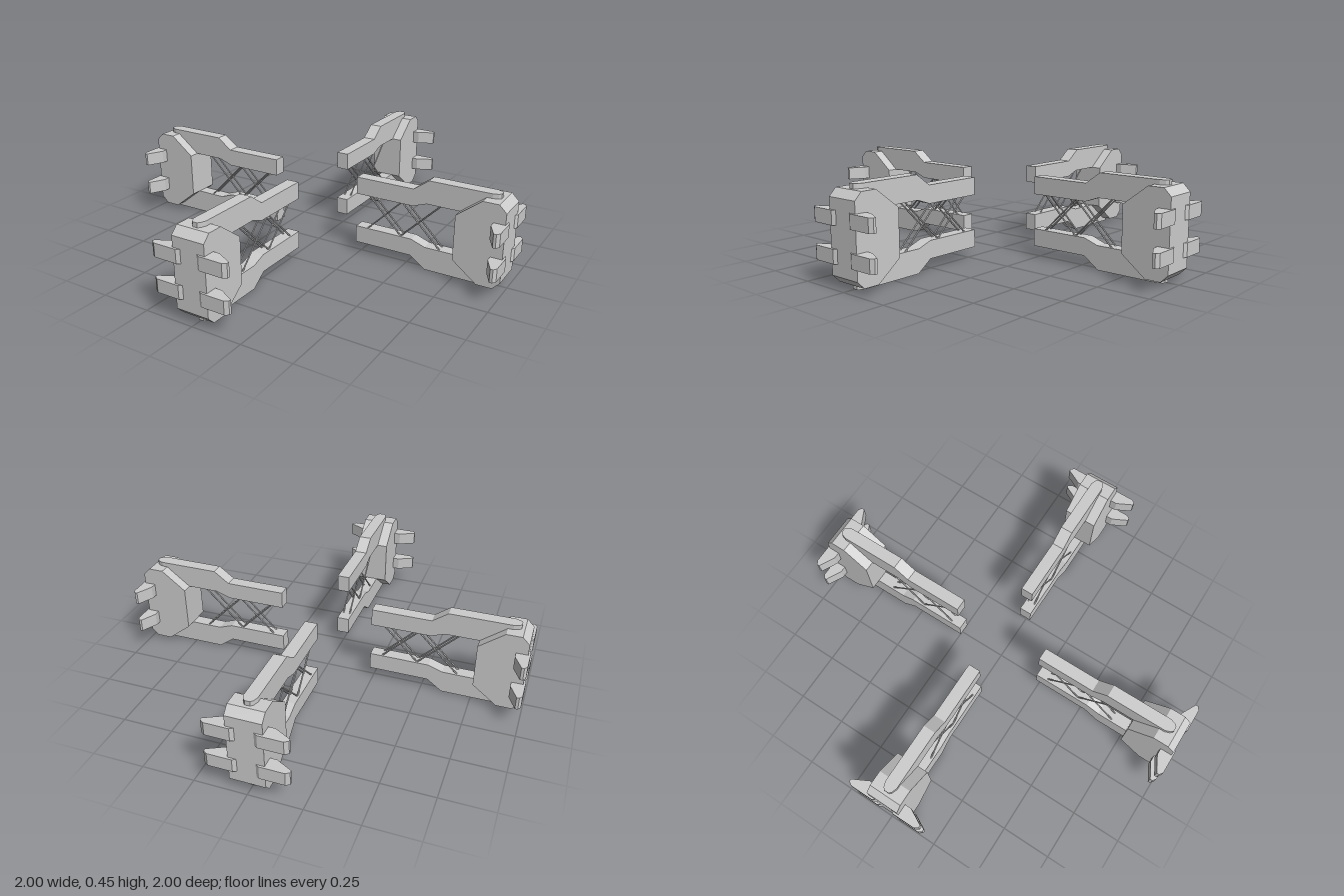
import * as THREE from 'three';

const MID = 0.225; // height of the horizontal symmetry plane
const material = new THREE.MeshStandardMaterial({ color: 0xcccccc, flatShading: true });

// Extrudes a 2D outline symmetrically about its own plane.
function slab(points, thickness) {
  const shape = new THREE.Shape(points.map(([x, y]) => new THREE.Vector2(x, y)));
  const geometry = new THREE.ExtrudeGeometry(shape, { depth: thickness, bevelEnabled: false });
  return geometry.translate(0, 0, -thickness / 2);
}

// Same, but the outline lies flat in the x-z plane.
const flatSlab = (points, thickness) => slab(points, thickness).rotateX(Math.PI / 2);

function add(group, name, geometry, y = 0) {
  const mesh = new THREE.Mesh(geometry, material);
  mesh.name = name;
  mesh.position.y = y;
  group.add(mesh);
  return mesh;
}

// One arm pointing along +x.
function createArm() {
  const arm = new THREE.Group();

  // Chamfered end block
  const upper = [[0.76, 0.11], [0.88, 0.203], [0.955, 0.203], [0.99, 0.168]];
  const lower = upper.map(([x, y]) => [x, -y]).reverse();
  add(arm, 'endBlock', slab([...upper, ...lower], 0.166), MID);

  for (const s of [1, -1]) {
    const level = s > 0 ? 'upper' : 'lower';

    // Cranked beam with a tapered tip
    const beam = [[0.235, 0.085], [0.53, 0.085], [0.6, 0.11], [0.905, 0.11],
      [0.905, 0.225], [0.605, 0.225], [0.53, 0.17], [0.235, 0.17]];
    add(arm, level + 'Beam', slab(beam.map(([x, y]) => [x, y * s]), 0.062), MID);
    const tip = [[0.905, -0.031], [0.93, -0.022], [0.94, -0.012],
      [0.94, 0.012], [0.93, 0.022], [0.905, 0.031]];
    add(arm, level + 'BeamTip', flatSlab(tip, 0.115), MID + s * 0.1675);

    // Pair of side claws
    for (const t of [1, -1]) {
      const claw = [[0.935, 0.035], [0.985, 0.035], [1, 0.06], [1, 0.175],
        [0.988, 0.193], [0.975, 0.193], [0.935, 0.115]];
      add(arm, level + 'Claw', flatSlab(claw.map(([x, z]) => [x, z * t]), 0.065), MID + s * 0.0825);
    }
  }

  // Crossed lattice rods between the beams, in two layers
  for (const x of [0.382, 0.558]) {
    for (const z of [-0.018, 0.018]) {
      for (const tilt of [1, -1]) {
        const rod = add(arm, 'latticeRod', new THREE.CylinderGeometry(0.004, 0.004, 0.32, 6), MID);
        rod.position.set(x, MID, z);
        rod.rotation.z = tilt * Math.PI / 4;
      }
    }
  }
  return arm;
}

export function createModel() {
  const model = new THREE.Group();
  model.name = 'clampArms';
  ['leftArm', 'backArm', 'rightArm', 'frontArm'].forEach((name, i) => {
    const arm = createArm();
    arm.name = name;
    arm.rotation.y = i * Math.PI / 2;
    model.add(arm);
  });
  return model;
}
